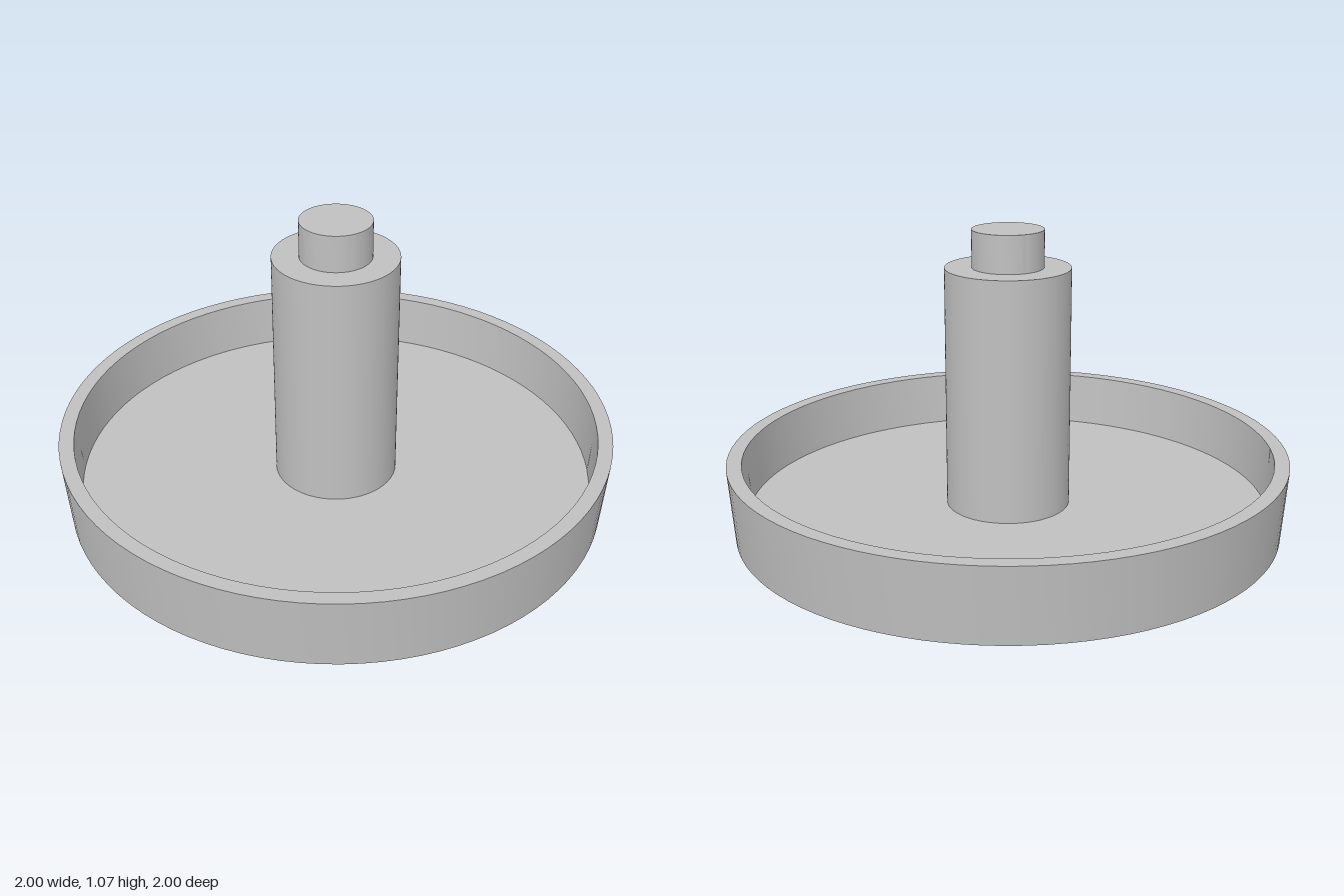
import * as THREE from 'three';
import { toCreasedNormals } from 'three/addons/utils/BufferGeometryUtils.js';

const SEGMENTS = 96;

export function createModel() {
  const model = new THREE.Group();
  model.name = 'trayWithPost';

  const grey = new THREE.MeshStandardMaterial({ color: 0xc0c0c0 });
  grey.name = 'grey';

  // Revolves a [radius, height] profile, keeping its corners sharp
  function turned(name, profile) {
    const points = profile.map(([r, y]) => new THREE.Vector2(r, y));
    const geometry = toCreasedNormals(new THREE.LatheGeometry(points, SEGMENTS), 0.6);
    const mesh = new THREE.Mesh(geometry, grey);
    mesh.name = name;
    model.add(mesh);
  }

  // Shallow round tray: underside, flared wall, flat rim, inner wall, floor
  turned('tray', [
    [0, 0], [0.98, 0], [1, 0.267], [0.947, 0.267], [0.933, 0.067], [0, 0.067],
  ]);

  // Central post with a stepped, narrower peg on top
  turned('post', [
    [0.222, 0.067], [0.222, 0.935], [0.127, 0.935], [0.127, 1.069], [0, 1.069],
  ]);

  return model;
}
